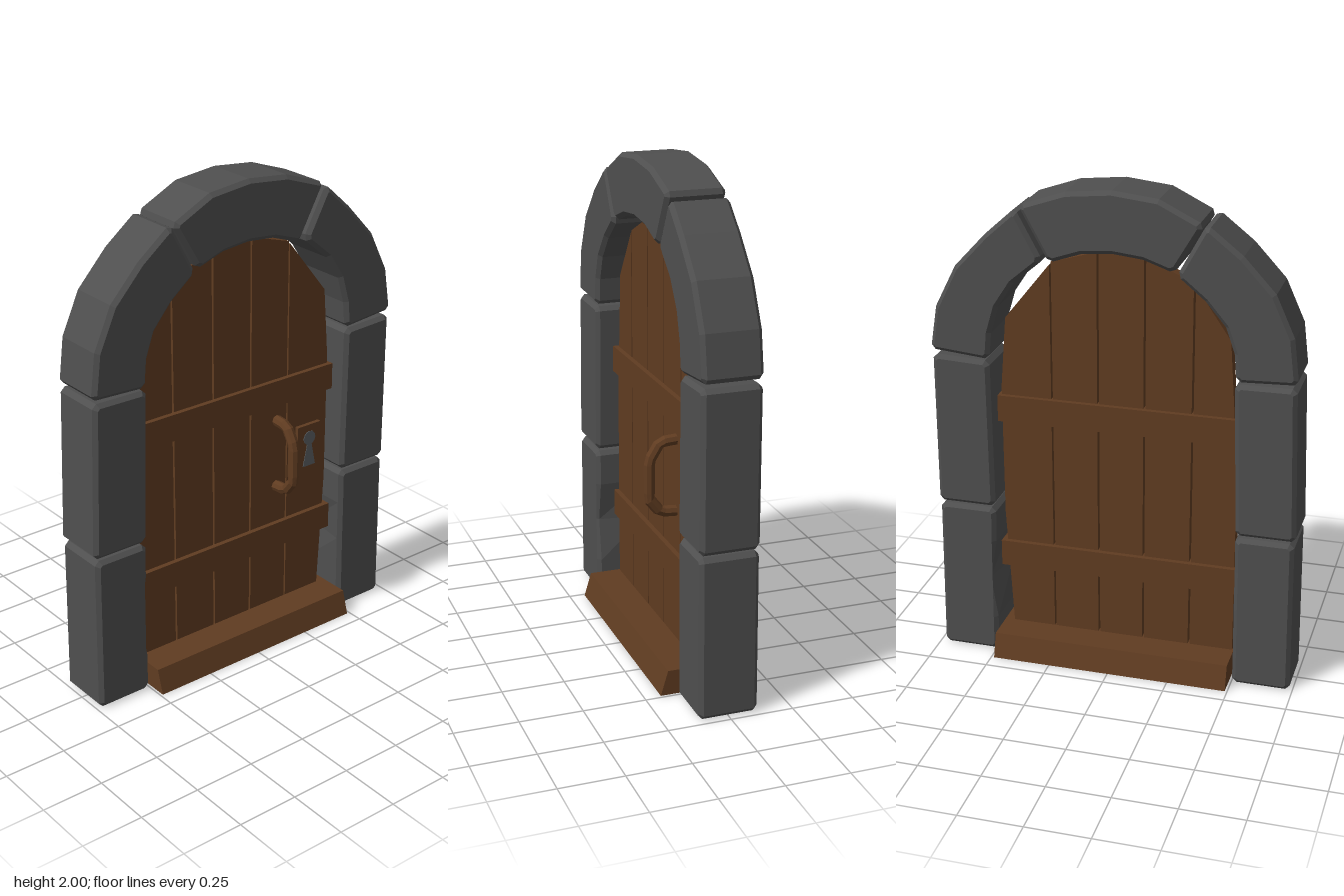
import * as THREE from 'three';

const stone = new THREE.MeshStandardMaterial({ color: 0x4f4f4f });
stone.name = 'dark stone';
const wood = new THREE.MeshStandardMaterial({ color: 0x603c21 });
wood.name = 'brown wood';
const steel = new THREE.MeshStandardMaterial({ color: 0x5c5f62 });
steel.name = 'grey keyhole';

const toShape = (pts) => new THREE.Shape(pts.map(([x, y]) => new THREE.Vector2(x, y)));

// Cut off every sharp corner of an outline
function chamfer(pts, size) {
  const out = [];
  pts.forEach((p, i) => {
    const v = new THREE.Vector2(...p);
    const a = new THREE.Vector2(...pts[(i + pts.length - 1) % pts.length]).sub(v).normalize();
    const b = new THREE.Vector2(...pts[(i + 1) % pts.length]).sub(v).normalize();
    if (a.dot(b) > -0.6) {
      out.push(v.clone().addScaledVector(a, size).toArray(), v.clone().addScaledVector(b, size).toArray());
    } else out.push(p);
  });
  return out;
}

// Bevelled stone block, 0.24 deep and centred on z
function stoneGeometry(pts) {
  const bevel = 0.016;
  const geo = new THREE.ExtrudeGeometry(toShape(chamfer(pts, 0.018)), {
    depth: 0.235 - 2 * bevel, bevelEnabled: true, bevelSegments: 1,
    bevelSize: bevel, bevelThickness: bevel, bevelOffset: -bevel,
  });
  return geo.translate(0, 0, -0.1175 + bevel);
}

// Flat board with a free outline between two depths
function boardGeometry(pts, z0, z1) {
  return new THREE.ExtrudeGeometry(toShape(pts), { depth: z1 - z0, bevelEnabled: false }).translate(0, 0, z0);
}

export function createModel() {
  const group = new THREE.Group();
  const add = (name, geo, mat) => {
    const mesh = new THREE.Mesh(geo, mat);
    mesh.name = name;
    group.add(mesh);
    return mesh;
  };

  // Lower pillar blocks, each with one chipped inner edge
  const lower = [[-0.738, 0], [-0.502, 0], [-0.502, 0.15], [-0.5, 0.33], [-0.5, 0.5],
    [-0.498, 0.65], [-0.732, 0.65]];
  const chipped = stoneGeometry(lower);
  const pos = chipped.attributes.position;
  for (let i = 0; i < pos.count; i++) {
    if (pos.getZ(i) > 0.09 && pos.getX(i) > -0.56 && Math.abs(pos.getY(i) - 0.33) < 0.05) {
      pos.setX(i, pos.getX(i) - 0.03);
    }
  }
  chipped.computeVertexNormals();
  add('lowerPillarRight', chipped, stone);
  const opposite = add('lowerPillarLeft', chipped, stone);
  opposite.rotation.y = Math.PI;
  opposite.position.x = -0.009;

  // Upper pillar blocks
  add('upperPillarRight', stoneGeometry([[-0.738, 0.66], [-0.498, 0.66], [-0.48, 1.29], [-0.718, 1.293]]), stone);
  add('upperPillarLeft', stoneGeometry([[0.49, 0.658], [0.728, 0.658], [0.73, 1.293], [0.497, 1.283]]), stone);

  // Arch stones and keystone
  add('archStoneRight', stoneGeometry([[-0.722, 1.308], [-0.7, 1.49], [-0.625, 1.655], [-0.5, 1.79],
    [-0.36, 1.9], [-0.25, 1.695], [-0.36, 1.605], [-0.44, 1.51], [-0.475, 1.41], [-0.485, 1.298]]), stone);
  add('archStoneLeft', stoneGeometry([[0.738, 1.312], [0.71, 1.49], [0.625, 1.66], [0.5, 1.795],
    [0.378, 1.905], [0.272, 1.71], [0.39, 1.61], [0.455, 1.51], [0.487, 1.4], [0.497, 1.29]]), stone);
  add('keystone', stoneGeometry([[-0.352, 1.895], [-0.18, 1.98], [0, 2], [0.18, 1.982], [0.365, 1.918],
    [0.247, 1.703], [0.12, 1.747], [0, 1.758], [-0.12, 1.745], [-0.24, 1.703]]), stone);

  // Door planks
  const planks = [
    [[-0.483, 0.09], [-0.305, 0.09], [-0.305, 1.635], [-0.445, 1.43], [-0.482, 0.9]],
    [[-0.297, 0.09], [-0.112, 0.09], [-0.112, 1.73], [-0.297, 1.645]],
    [[-0.104, 0.09], [0.075, 0.09], [0.075, 1.737], [-0.104, 1.737]],
    [[0.083, 0.09], [0.265, 0.09], [0.265, 1.682], [0.083, 1.735]],
    [[0.272, 0.09], [0.448, 0.09], [0.476, 0.6], [0.478, 1.15], [0.455, 1.44], [0.272, 1.67]],
  ];
  planks.forEach((p, i) => add(`plank${i + 1}`, boardGeometry(p, -0.025, 0.025), wood));

  // Cross battens, showing on both faces
  for (const [name, y] of [['lowerBatten', 0.42], ['upperBatten', 1.062]]) {
    add(name, new THREE.BoxGeometry(0.98, 0.11, 0.09).translate(0, y, 0), wood);
  }

  // Sloped sill
  const sill = boardGeometry([[-0.185, 0], [0.185, 0], [0.155, 0.1], [-0.155, 0.1]], -0.49, 0.488);
  add('sill', sill.rotateY(Math.PI / 2), wood);

  // Faceted pull handle
  const path = new THREE.CurvePath();
  const bends = [[0.935, 0.015], [0.93, 0.09], [0.86, 0.133], [0.7, 0.133], [0.645, 0.09], [0.64, 0.015]]
    .map(([y, z]) => new THREE.Vector3(0.215, y, z));
  for (let i = 1; i < bends.length; i++) path.add(new THREE.LineCurve3(bends[i - 1], bends[i]));
  const handle = new THREE.TubeGeometry(path, 16, 0.023, 8).toNonIndexed();
  handle.computeVertexNormals();
  add('handle', handle, wood);

  // Lock plate and keyhole
  add('lockPlate', new THREE.BoxGeometry(0.12, 0.235, 0.025).translate(0.375, 0.757, 0.03), wood);
  const key = new THREE.Shape();
  key.moveTo(0.343, 0.69);
  key.lineTo(0.408, 0.69);
  key.lineTo(0.388, 0.785);
  key.absarc(0.376, 0.815, 0.031, -1.1, Math.PI + 1.1, false);
  key.lineTo(0.364, 0.785);
  const keyhole = new THREE.ExtrudeGeometry(key, { depth: 0.004, bevelEnabled: false, curveSegments: 5 });
  add('keyhole', keyhole.translate(0, 0, 0.041), steel);

  return group;
}
